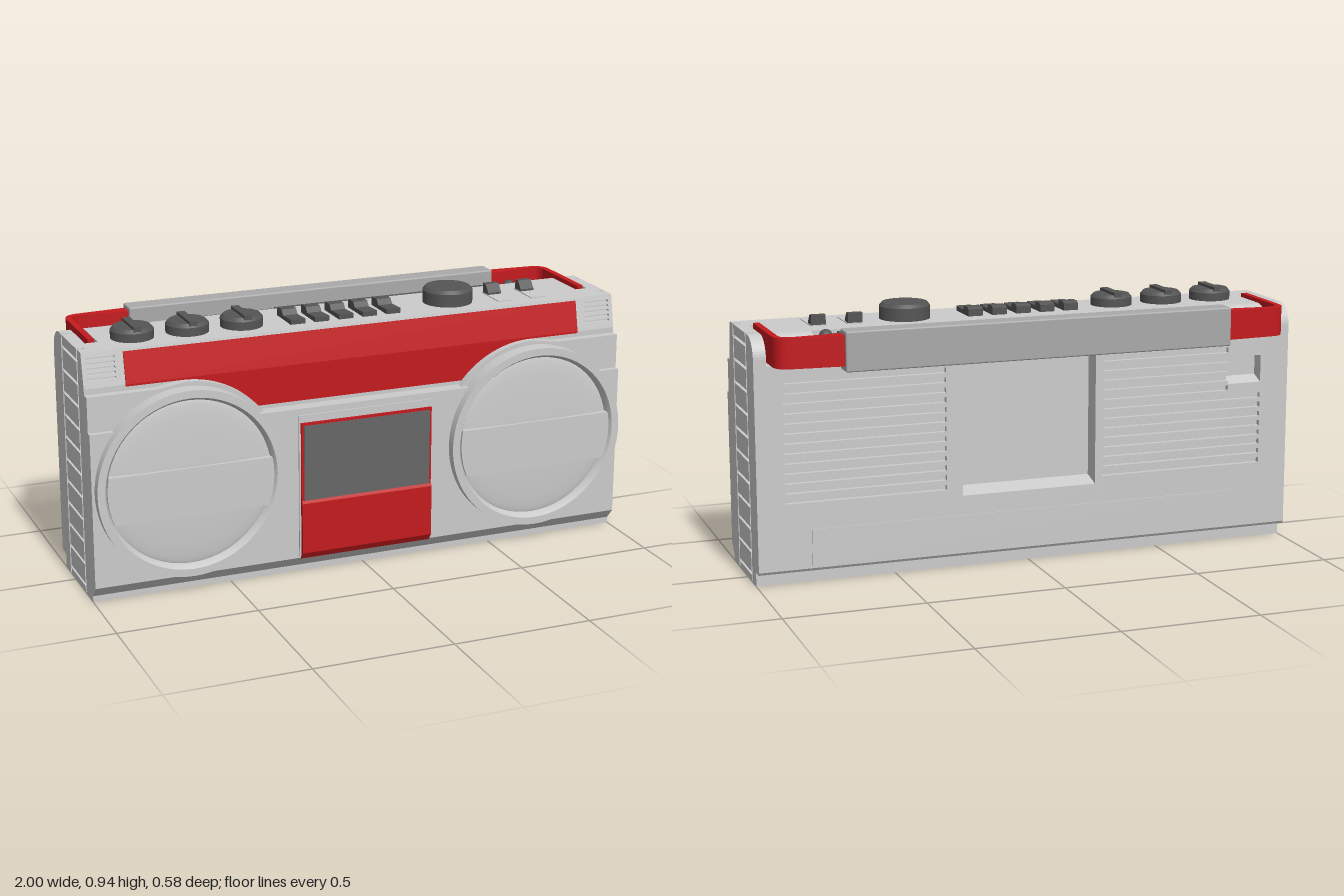
import * as THREE from 'three';
import { RoundedBoxGeometry } from 'three/addons/geometries/RoundedBoxGeometry.js';

const mat = (color) => new THREE.MeshStandardMaterial({ color });

export function createModel() {
  const model = new THREE.Group();
  const grey = mat(0xcccccc), red = mat(0xc41a1e), dark = mat(0x555555);
  const smoked = mat(0x666666), gripGrey = mat(0xaaaaaa);

  const add = (name, geometry, material = grey, parent = model) => {
    const mesh = new THREE.Mesh(geometry, material);
    mesh.name = name;
    parent.add(mesh);
    return mesh;
  };
  const group = (name) => {
    const g = new THREE.Group();
    g.name = name;
    model.add(g);
    return g;
  };
  // Box given by its limits on each axis
  const box = (x0, x1, y0, y1, z0, z1) =>
    new THREE.BoxGeometry(x1 - x0, y1 - y0, z1 - z0)
      .translate((x0 + x1) / 2, (y0 + y1) / 2, (z0 + z1) / 2);
  const toShape = (pts) => new THREE.Shape(pts.map(([a, b]) => new THREE.Vector2(a, b)));
  const extrude = (shape, depth, curveSegments = 32) =>
    new THREE.ExtrudeGeometry(shape, { depth, bevelEnabled: false, curveSegments });
  // A (z, y) profile swept along x
  const sweep = (pts, x0, x1) =>
    extrude(toShape(pts), x1 - x0).rotateY(-Math.PI / 2).translate(x1, 0, 0);

  // ---- Cabinet: side profile, varied section by section along x ----
  const cabinetProfile = ({ front = 0.165, slot, channel, grilleTop, recess }) => {
    const p = [[front, 0], [front, 0.88]];
    if (slot) {
      p.push([0.075, 0.88], [0.075, 0.78], [-0.17, 0.78]);
    } else {
      if (channel) p.push([-0.095, 0.88], [-0.095, 0.848], [-0.14, 0.848]);
      for (let i = 0; i <= 12; i++) {
        const a = Math.PI / 2 * (1 + i / 12);
        const z = -0.095 + 0.075 * Math.cos(a);
        if (!channel || z < -0.14) p.push([z, 0.805 + 0.075 * Math.sin(a)]);
      }
    }
    if (recess) {
      const [y0, y1, d] = recess;
      p.push([-0.17, y1], [-0.17 + d, y1], [-0.17 + d, y0 + 0.02], [-0.17, y0]);
    }
    if (grilleTop) {
      for (let y = grilleTop; y > 0.28; y -= 0.035)
        p.push([-0.17, y], [-0.152, y], [-0.152, y - 0.019], [-0.17, y - 0.019]);
    }
    p.push([-0.17, 0.06], [-0.163, 0.05], [-0.125, 0.05], [-0.125, 0]);
    return p;
  };
  const cabinet = group('cabinet');
  const sections = [
    [-0.975, -0.955, {}],
    [-0.955, -0.91, { slot: true }],
    [-0.91, -0.89, {}],
    [-0.89, -0.76, { recess: [0.6, 0.7, 0.05], grilleTop: 0.56 }],
    [-0.76, -0.27, { channel: true, grilleTop: 0.735 }],
    [-0.27, -0.24, { channel: true }],
    [-0.24, 0.26, { channel: true, recess: [0.27, 0.75, 0.07] }],
    [0.26, 0.32, { channel: true }],
    [0.32, 0.78, { channel: true, grilleTop: 0.735 }],
    [0.78, 0.9, { grilleTop: 0.735 }],
    [0.9, 0.91, {}],
    [0.91, 0.955, { slot: true }],
    [0.955, 0.975, {}],
  ];
  for (const [x0, x1, options] of sections)
    add('cabinetSection', sweep(cabinetProfile(options), x0, x1), grey, cabinet);
  add('batteryDoor', box(-0.78, 0.81, 0.065, 0.2, -0.174, -0.165));

  // ---- Side cheeks: rails with a ladder of pads between them ----
  for (const s of [-1, 1]) {
    const side = group(s > 0 ? 'leftSide' : 'rightSide');
    const x0 = s > 0 ? 0.975 : -1, x1 = x0 + 0.025;
    add('rearRail', sweep(cabinetProfile({ front: -0.067 }), x0, x1), grey, side);
    add('frontRail', box(x0, x1, 0, 0.88, 0.138, 0.165), grey, side);
    for (let k = -1; k <= 10; k++) {
      const y = 0.798 - k * 0.081;
      add('sidePad', box(x0, x1, Math.max(0, y - 0.035), Math.min(0.88, y + 0.035), -0.055, 0.126), grey, side);
    }
  }

  // ---- Slanted upper front, slotted at both ends ----
  const slant = (y) => 0.205 - (Math.max(y, 0.76) - 0.76) * 0.208;
  const upperProfile = (slits) => {
    const p = [[0.165, 0.6], [0.205, 0.6], [0.205, 0.76]];
    for (let i = 0; slits && i < 5; i++) {
      const y = 0.785 + i * 0.017;
      p.push([slant(y), y], [slant(y) - 0.014, y], [slant(y) - 0.014, y + 0.008], [slant(y + 0.008), y + 0.008]);
    }
    p.push([0.18, 0.88], [0.165, 0.88]);
    return p;
  };
  const upper = group('upperFront');
  for (const [x0, x1, slits] of [[-1, -0.985, 0], [-0.985, -0.885, 1], [-0.885, 0.885, 0], [0.885, 0.985, 1], [0.985, 1, 0]])
    add('upperFrontSection', sweep(upperProfile(slits), x0, x1), grey, upper);
  add('redFascia', sweep([[0.18, 0.755], [0.21, 0.755], [0.21, 0.762], [0.187, 0.87], [0.17, 0.87]], -0.855, 0.85), red);
  add('redFasciaLower', box(-0.65, 0.65, 0.63, 0.756, 0.18, 0.21), red);

  // ---- Lower front panel ----
  add('frontPanel', sweep([[0.165, 0], [0.22, 0], [0.22, 0.022], [0.255, 0.062], [0.255, 0.615], [0.165, 0.615]], -1, 1));

  // ---- Speakers ----
  const cx = 0.655, cy = 0.405;
  for (const s of [-1, 1]) {
    const speaker = group(s > 0 ? 'leftSpeaker' : 'rightSpeaker');
    // Shoulder that follows the ring down to the middle of the fascia
    const shoulder = new THREE.Shape();
    shoulder.moveTo(1, 0.6);
    shoulder.lineTo(1, 0.74);
    shoulder.lineTo(0.755, 0.74);
    for (let i = 0; i <= 20; i++) {
      const a = THREE.MathUtils.degToRad(90 + i * 2.65);
      shoulder.lineTo(cx + 0.35 * Math.cos(a), cy + 0.35 * Math.sin(a));
    }
    shoulder.lineTo(0.387, 0.6);
    const mirrored = toShape(shoulder.getPoints().map((v) => [s * v.x, v.y]));
    add('speakerShoulder', extrude(mirrored, 0.07).translate(0, 0, 0.165), grey, speaker);

    const ring = new THREE.LatheGeometry([
      [0.296, 0.25], [0.296, 0.27], [0.308, 0.29], [0.308, 0.29], [0.335, 0.29], [0.335, 0.29], [0.335, 0.22],
    ].map(([r, z]) => new THREE.Vector2(r, -z)), 72).rotateX(-Math.PI / 2);
    const ringMesh = add('speakerRing', ring, grey.clone(), speaker);
    ringMesh.material.side = THREE.DoubleSide;
    ringMesh.position.set(s * cx, cy, 0);

    // Shallow dome behind the crossband
    const dome = new THREE.SphereGeometry(0.3, 48, 12, 0, Math.PI * 2, 0, Math.PI / 2)
      .rotateX(Math.PI / 2).scale(1, 1, 0.06);
    add('speakerDome', dome, grey, speaker).position.set(s * cx, cy, 0.256);

    const band = new THREE.Shape();
    const a0 = Math.asin(-0.115 / 0.298), a1 = Math.asin(0.058 / 0.298);
    band.absarc(0, 0, 0.298, a0, a1, false);
    band.absarc(0, 0, 0.298, Math.PI - a1, Math.PI - a0, false);
    add('speakerCrossband', extrude(band, 0.033, 16), grey, speaker).position.set(s * cx, cy, 0.25);
  }

  // ---- Cassette door ----
  add('cassetteFrame', box(-0.256, 0.25, 0.07, 0.592, 0.25, 0.261));
  add('cassetteDoorRim', box(-0.25, 0.245, 0.27, 0.565, 0.25, 0.267), red);
  add('cassetteWindow', box(-0.24, 0.237, 0.28, 0.555, 0.25, 0.27), smoked);
  add('cassetteDoorLower', sweep([[0.25, 0.06], [0.258, 0.06], [0.275, 0.085], [0.275, 0.27], [0.27, 0.28], [0.25, 0.28]], -0.25, 0.245), red);

  // ---- Top controls ----
  const knob = (name, x, z, r, h) =>
    add(name, new THREE.LatheGeometry([[r, 0], [r, h - 0.012], [r, h - 0.012], [r - 0.01, h], [r - 0.01, h], [0, h]]
      .map(([a, b]) => new THREE.Vector2(a, b)), 40), dark).position.set(x, 0.88, z);
  for (const x of [-0.785, -0.588, -0.39]) {
    knob('controlKnob', x, 0.06, 0.075, 0.042);
    add('knobPointer', box(x - 0.014, x + 0.014, 0.9, 0.932, -0.01, 0.13), dark);
  }
  knob('tuningKnob', 0.403, 0.045, 0.09, 0.058);
  const key = [[-0.012, 0.87], [-0.012, 0.905], [0, 0.912], [0.035, 0.912], [0.05, 0.894], [0.125, 0.898], [0.125, 0.87]];
  for (let i = 0; i < 5; i++) {
    const x = -0.205 + i * 0.0905;
    add('cassetteKey', sweep(key, x - 0.027, x + 0.027), dark);
  }
  for (const x of [0.598, 0.73]) {
    add('switchTrack', box(x - 0.029, x + 0.029, 0.87, 0.883, -0.013, 0.126));
    add('switchSlider', sweep([[-0.01, 0.88], [-0.01, 0.918], [0.012, 0.918], [0.035, 0.89], [0.035, 0.88]], x - 0.026, x + 0.026), dark);
  }

  // ---- Folded antenna in its channel ----
  const antenna = group('antenna');
  for (const [x0, x1, r] of [[-0.76, -0.68, 0.013], [-0.68, -0.59, 0.008], [-0.59, -0.2, 0.011], [-0.2, 0.69, 0.015], [0.69, 0.73, 0.008]]) {
    const rod = add('antennaRod', new THREE.CylinderGeometry(r, r, x1 - x0, 16).rotateZ(Math.PI / 2), dark, antenna);
    rod.position.set((x0 + x1) / 2, 0.863, -0.118);
  }
  add('antennaPivot', new THREE.SphereGeometry(0.024, 20, 14), dark, antenna).position.set(0.733, 0.863, -0.118);

  // ---- Handle ----
  for (const s of [-1, 1]) {
    const arm = new THREE.Shape();
    arm.moveTo(s * 0.943, -0.068);
    arm.lineTo(s * 0.943, 0.2);
    arm.quadraticCurveTo(s * 0.943, 0.26, s * 0.885, 0.262);
    arm.lineTo(s * 0.7, 0.275);
    arm.lineTo(s * 0.7, 0.222);
    arm.lineTo(s * 0.875, 0.238);
    arm.quadraticCurveTo(s * 0.921, 0.238, s * 0.921, 0.2);
    arm.lineTo(s * 0.921, -0.068);
    add('handleArm', extrude(arm, 0.105, 12).rotateX(-Math.PI / 2).translate(0, 0.785, 0), red);
  }
  add('handleGrip', new RoundedBoxGeometry(1.42, 0.14, 0.077, 2, 0.006), gripGrey).position.set(-0.002, 0.835, -0.249);

  return model;
}
